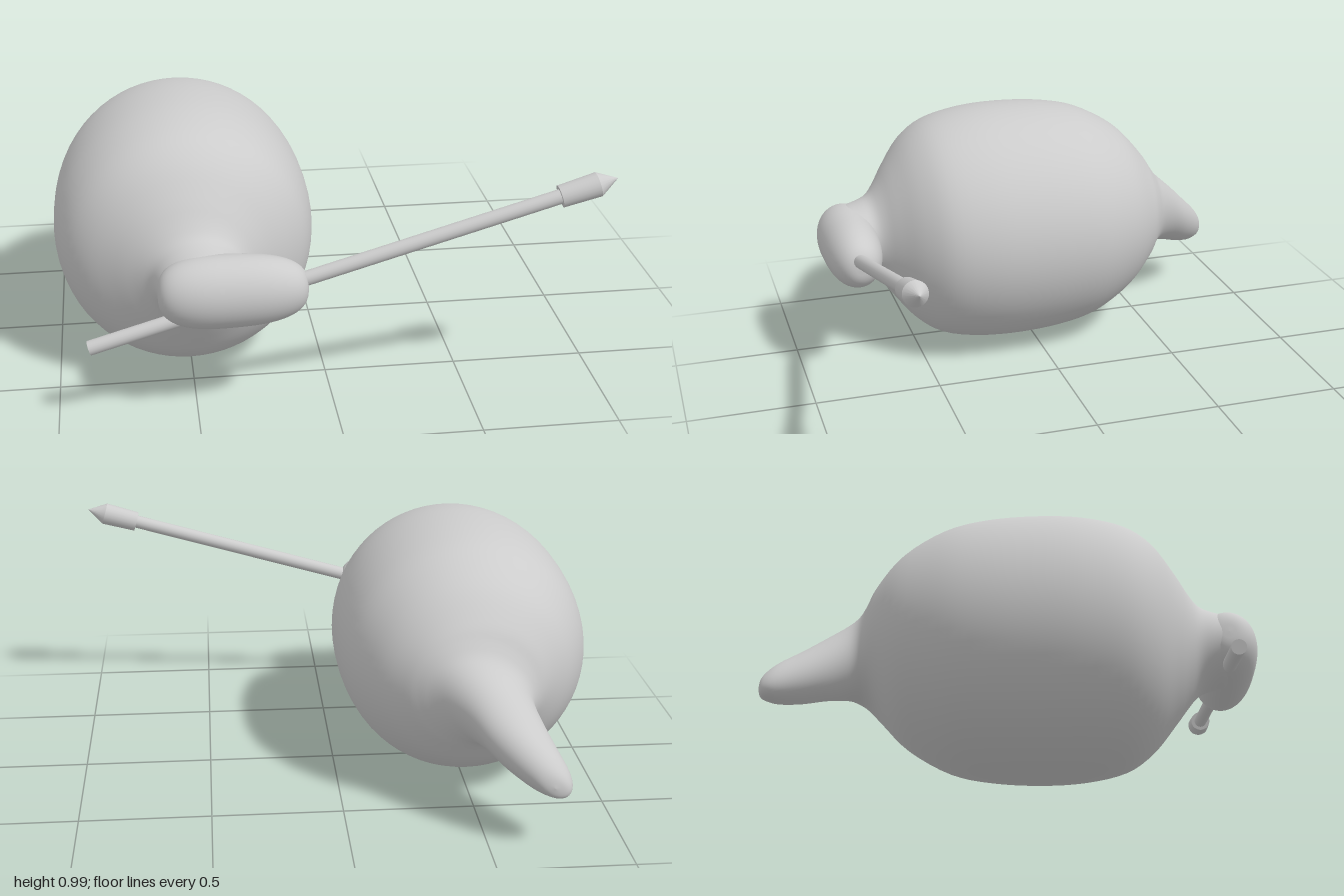
import * as THREE from 'three';

const grey = new THREE.MeshStandardMaterial({ color: 0xcccccc });

// Body sections: z, left x, right x, bottom y, top y, lean of the ellipse
const sections = [
  [-0.897, -0.72, -0.715, 0.262, 0.267, 0.3],
  [-0.89, -0.762, -0.676, 0.227, 0.305, 0.4],
  [-0.87, -0.784, -0.635, 0.212, 0.345, 0.45],
  [-0.83, -0.79, -0.58, 0.208, 0.395, 0.45],
  [-0.76, -0.768, -0.505, 0.228, 0.465, 0.45],
  [-0.68, -0.735, -0.437, 0.262, 0.545, 0.42],
  [-0.61, -0.708, -0.368, 0.29, 0.61, 0.32],
  [-0.57, -0.703, -0.32, 0.292, 0.65, 0.2],
  [-0.54, -0.722, -0.275, 0.28, 0.695, 0.1],
  [-0.5, -0.77, -0.222, 0.245, 0.757, 0],
  [-0.4, -0.875, -0.13, 0.14, 0.865, 0],
  [-0.25, -0.955, -0.052, 0.053, 0.95, 0],
  [-0.1, -0.99, -0.02, 0.018, 0.985, 0],
  [0.08, -1, -0.01, 0.005, 0.997, 0],
  [0.25, -0.992, -0.018, 0.013, 0.988, 0],
  [0.4, -0.956, -0.054, 0.047, 0.952, 0],
  [0.5, -0.885, -0.13, 0.115, 0.885, 0],
  [0.58, -0.775, -0.225, 0.215, 0.785, 0],
  [0.63, -0.7, -0.282, 0.285, 0.71, 0],
  [0.67, -0.655, -0.305, 0.335, 0.665, 0],
  [0.72, -0.635, -0.3, 0.362, 0.645, 0],
  [0.78, -0.622, -0.29, 0.375, 0.63, 0],
  [0.83, -0.6, -0.29, 0.41, 0.6, 0],
  [0.86, -0.5, -0.4, 0.48, 0.53, 0],
];

// Catmull-Rom blend between neighbouring sections
function sectionAt(u) {
  const last = sections.length - 1;
  const i = Math.min(Math.floor(u), last - 1), t = u - i;
  const at = (k) => sections[Math.max(0, Math.min(last, k))];
  const [a, b, c, d] = [at(i - 1), at(i), at(i + 1), at(i + 2)];
  return b.map((p, k) => p + 0.5 * t * (c[k] - a[k]
    + t * (2 * a[k] - 5 * p + 4 * c[k] - d[k] + t * (3 * (p - c[k]) + d[k] - a[k]))));
}

// Smooth skin running from the tail tip through the belly to the wrist
function bodyGeometry(around = 64, steps = 4) {
  const pos = [], index = [];
  const rings = (sections.length - 1) * steps + 1;
  for (let r = 0; r < rings; r++) {
    const [z, x0, x1, y0, y1, lean] = sectionAt(r / steps);
    const phase = Math.asin(lean);
    for (let j = 0; j < around; j++) {
      const a = (j / around) * Math.PI * 2;
      pos.push((x0 + x1) / 2 + (x1 - x0) / 2 * Math.cos(a),
        (y0 + y1) / 2 + (y1 - y0) / 2 * Math.sin(a + phase), z);
      if (r < rings - 1) {
        const p = r * around + j, q = r * around + (j + 1) % around;
        index.push(p, q, p + around, q, q + around, p + around);
      }
    }
  }
  // Close the two ends
  const top = (rings - 1) * around;
  for (let j = 1; j < around - 1; j++) index.push(0, j + 1, j, top, top + j, top + j + 1);
  const g = new THREE.BufferGeometry();
  g.setAttribute('position', new THREE.Float32BufferAttribute(pos, 3));
  g.setIndex(index);
  g.computeVertexNormals();
  return g;
}

// Rounded, slightly tapering fist lying along x
function fistGeometry() {
  const pts = [];
  for (let i = 0; i <= 32; i++) {
    const a = (i / 32) * Math.PI, c = -Math.cos(a);
    const h = 0.265 * Math.sign(c) * Math.abs(c) ** 0.75;
    const r = (0.133 - 0.03 * h) * Math.max(0, Math.sin(a)) ** 0.7;
    pts.push(new THREE.Vector2(i % 32 ? r : 0, h));
  }
  return new THREE.LatheGeometry(pts, 40).rotateZ(-Math.PI / 2).scale(1, 1, 0.88);
}

export function createModel() {
  const model = new THREE.Group();
  const add = (parent, name, geometry, x = 0, y = 0, z = 0) => {
    const mesh = new THREE.Mesh(geometry, grey);
    mesh.name = name;
    mesh.position.set(x, y, z);
    parent.add(mesh);
    return mesh;
  };

  add(model, 'bodyAndTail', bodyGeometry());
  add(model, 'fist', fistGeometry(), -0.365, 0.505, 0.773);

  // Spear built upright from its butt, then tilted through the fist
  const spear = new THREE.Group();
  spear.name = 'spear';
  spear.position.set(-0.877, 0.313, 0.775);
  spear.rotation.z = -Math.PI / 2 + Math.atan(0.291);
  add(spear, 'shaft', new THREE.CylinderGeometry(0.027, 0.027, 1.75, 20), 0, 0.875);
  add(spear, 'spearSocket', new THREE.CylinderGeometry(0.045, 0.041, 0.14, 20), 0, 1.81);
  add(spear, 'spearTip', new THREE.ConeGeometry(0.045, 0.073, 20), 0, 1.9165);
  model.add(spear);

  return model;
}
